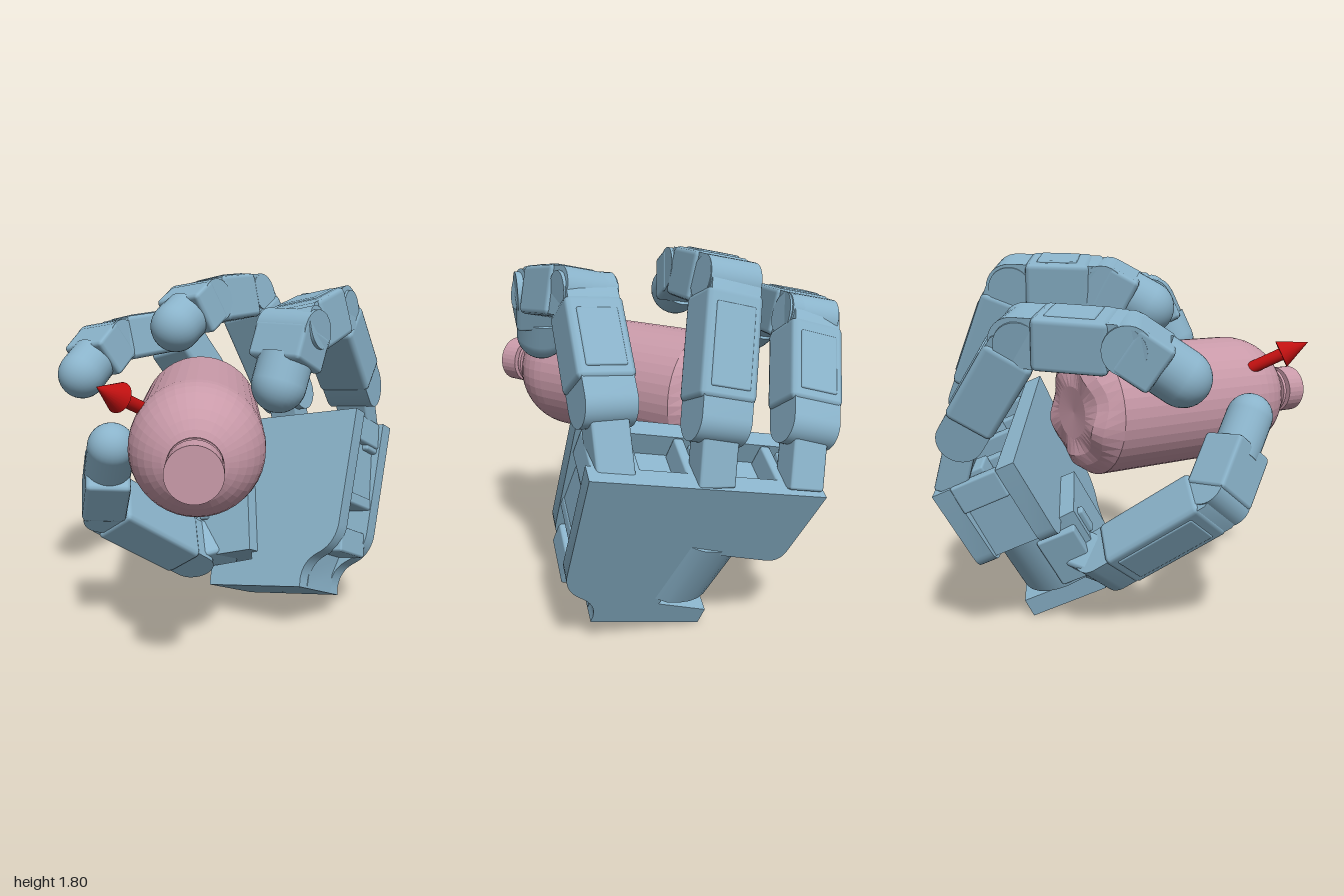
import * as THREE from 'three';
import { toCreasedNormals } from 'three/addons/utils/BufferGeometryUtils.js';
import { RoundedBoxGeometry } from 'three/addons/geometries/RoundedBoxGeometry.js';

const V = (x, y, z) => new THREE.Vector3(x, y, z);
const blue = new THREE.MeshStandardMaterial({ color: 0x8ab3ca });
const pink = new THREE.MeshStandardMaterial({ color: 0xc99aa9, flatShading: true });
const red = new THREE.MeshStandardMaterial({ color: 0xc01010 });

// Palm frame: across, towards the fingers, out of the palm
const across = V(0.811, 0.2, 0.549).normalize();
const out = across.clone().cross(V(0.085, 0.888, -0.45)).normalize();
const up = out.clone().cross(across).normalize();

function add(parent, name, geometry, material = blue, x = 0, y = 0, z = 0) {
  const m = new THREE.Mesh(geometry, material);
  m.name = name;
  m.position.set(x, y, z);
  parent.add(m);
  return m;
}

const box = (w, h, d, r = 0.012) => new RoundedBoxGeometry(w, h, d, 1, r);

function slab(shape, depth) {
  const g = new THREE.ExtrudeGeometry(shape, { depth, bevelEnabled: false, curveSegments: 8 });
  return toCreasedNormals(g, 0.6);
}

// ---- Palm ----
function palmOutline() {
  const s = new THREE.Shape();
  s.moveTo(0, 0);
  s.lineTo(0.56, 0);
  s.lineTo(0.56, 0.04);
  s.quadraticCurveTo(0.57, 0.13, 0.65, 0.17);
  s.quadraticCurveTo(0.74, 0.21, 0.762, 0.31);
  s.lineTo(0.832, 0.91);
  s.lineTo(-0.281, 0.91);
  s.lineTo(-0.25, 0.54);
  s.quadraticCurveTo(-0.24, 0.47, -0.17, 0.475);
  s.lineTo(0.19, 0.51);
  s.lineTo(0.26, 0.14);
  s.lineTo(0, 0.1);
  return s;
}

// Inner block, set back along the finger side and the outer side
function coreOutline() {
  const s = new THREE.Shape();
  [[0, 0], [0.56, 0], [0.57, 0.1], [0.61, 0.2], [0.64, 0.42], [0.67, 0.8], [-0.22, 0.8],
    [-0.22, 0.5], [0.19, 0.51], [0.26, 0.14], [0, 0.1]]
    .forEach(([x, y], i) => (i ? s.lineTo(x, y) : s.moveTo(x, y)));
  return s;
}

function makePalm() {
  const palm = new THREE.Group();
  palm.name = 'palm';
  palm.matrixAutoUpdate = false;
  palm.matrix.makeBasis(across, up, out).setPosition(0.12, 0.006, -0.437);

  add(palm, 'backPlate', slab(palmOutline(), 0.09));
  add(palm, 'palmCore', slab(coreOutline(), 0.25), blue, 0, 0, 0.08);
  add(palm, 'palmPlate', slab(palmOutline(), 0.09), blue, 0, 0, 0.315);

  // Blocks along the outer side, leaving a gap between them
  add(palm, 'lowerSideBlock', box(0.16, 0.13, 0.26), blue, 0.665, 0.255, 0.2);
  add(palm, 'sideStrut', box(0.17, 0.06, 0.26), blue, 0.69, 0.47, 0.2);
  add(palm, 'sideMotor', box(0.13, 0.3, 0.25), blue, 0.705, 0.63, 0.2);
  add(palm, 'sideMotorTab', box(0.06, 0.07, 0.12), blue, 0.77, 0.78, 0.14);

  // Finger sockets along the top
  for (const x of [-0.17, 0.27, 0.7]) {
    for (const s of [-1, 1]) add(palm, 'socketCheek', box(0.05, 0.14, 0.23), blue, x + s * 0.085, 0.84, 0.2);
    add(palm, 'socketBlock', box(0.13, 0.17, 0.15), blue, x, 0.85, 0.18);
  }

  // Thumb housing in the notch: flush at the back, sweeping round to the thumb side
  const profile = new THREE.Shape();
  profile.moveTo(0.18, 0.0);
  profile.lineTo(0.18, -0.48);
  profile.lineTo(-0.16, -0.48);
  profile.lineTo(-0.19, -0.26);
  profile.bezierCurveTo(-0.19, -0.1, -0.08, 0.01, 0.12, 0.015);
  const housing = new THREE.Group();
  housing.name = 'thumbHousing';
  housing.position.set(0.09, 0.34, 0);
  housing.rotation.z = 0.13;
  palm.add(housing);
  add(housing, 'housingBody', slab(profile, 0.37), blue, 0, -0.185, 0).rotation.x = -Math.PI / 2;
  add(housing, 'housingBracket', box(0.1, 0.28, 0.2), blue, -0.16, -0.02, 0.35);
  add(housing, 'housingTab', box(0.05, 0.13, 0.05), blue, -0.1, 0.08, 0.48);
  return palm;
}

// ---- Fingers ----
// Frame at a joint: y along the bone, z along the hinge, x to the outside
function boneFrame(parent, name, a, b, hinge) {
  const y = b.clone().sub(a).normalize();
  const z = hinge.clone().addScaledVector(y, -hinge.dot(y)).normalize();
  const g = new THREE.Group();
  g.name = name;
  g.matrixAutoUpdate = false;
  g.matrix.makeBasis(y.clone().cross(z), y, z).setPosition(a);
  parent.add(g);
  return g;
}

// Side profile of a bone: round at the near joint, chamfered at the far one
function boneShape(L, t) {
  const r = t / 2, s = new THREE.Shape();
  s.moveTo(r, 0);
  s.lineTo(r, L - 0.03);
  s.lineTo(r - 0.06, L + 0.06);
  s.lineTo(-r + 0.04, L - 0.03);
  s.lineTo(-r, L - 0.09);
  s.lineTo(-r, 0);
  s.absarc(0, 0, r, Math.PI, Math.PI * 2, false);
  return s;
}

function hingePin(parent, w, r, y) {
  const pin = add(parent, 'hinge', new THREE.CylinderGeometry(r, r, w, 24), blue, 0, y, 0);
  pin.rotation.x = Math.PI / 2;
}

function addBone(parent, name, a, b, hinge, w, t) {
  const L = a.distanceTo(b);
  const g = boneFrame(parent, name, a, b, hinge);
  add(g, 'boneCore', slab(boneShape(L, t), w * 0.88), blue, 0, 0, -w * 0.44);
  add(g, 'boneShell', box(t + 0.015, L - 0.13, w, 0.025), blue, 0, L / 2 + 0.005, 0);
  add(g, 'backPanel', box(0.02, L - 0.24, w * 0.7, 0.008), blue, t / 2 + 0.004, L / 2, 0);
  hingePin(g, w * 0.93, t * 0.46, L);
}

function addTip(parent, a, b, hinge, w, r) {
  const L = a.distanceTo(b);
  const g = boneFrame(parent, 'fingertip', a, b, hinge);
  hingePin(g, w * 0.97, r * 0.85, 0);
  add(g, 'tipBase', box(r * 1.75, L * 0.68, w, 0.02), blue, 0, L * 0.28, 0);
  add(g, 'tipBarrel', new THREE.CylinderGeometry(r, r, L * 0.5, 28), blue, 0, L * 0.75, 0);
  add(g, 'tipPad', new THREE.SphereGeometry(r, 28, 18), blue, 0, L, 0);
}

function makeFinger(name, [a, b, c, d], root) {
  const g = new THREE.Group();
  g.name = name;
  const w = 0.27, t = 0.21;
  addBone(g, 'proximalBone', a, b, across, w * 0.98, t);
  addBone(g, 'middleBone', b, c, across, w, t);
  addTip(g, c, d, across, w, 0.122);
  // Link down into the palm
  const link = boneFrame(g, 'rootLink', root, a, across);
  const L = root.distanceTo(a);
  add(link, 'linkBlock', box(0.14, L + 0.08, 0.17), blue, 0, L / 2, 0);
  return g;
}

function makeThumb() {
  const g = new THREE.Group();
  g.name = 'thumb';
  const p = [V(0.0, 0.38, -0.3), V(-0.21, 0.355, -0.21), V(-0.63, 0.73, 0.13), V(-0.55, 1.06, 0.37)];
  const hinge = p[2].clone().sub(p[1]).cross(p[3].clone().sub(p[2])).normalize();
  const root = boneFrame(g, 'thumbRoot', p[0], p[1], hinge);
  add(root, 'rootBlock', box(0.19, 0.26, 0.22, 0.02), blue, 0, 0.12, 0);
  addBone(g, 'middleBone', p[1], p[2], hinge, 0.26, 0.21);
  const distal = boneFrame(g, 'distalBone', p[2], p[3], hinge);
  add(distal, 'distalShell', box(0.21, 0.27, 0.255, 0.02), blue, 0, 0.13, 0);
  addTip(g, p[2], p[3], hinge, 0.22, 0.11);
  return g;
}

// ---- Bottle ----
function makeBottle() {
  const g = new THREE.Group();
  g.name = 'bottle';
  g.position.set(-0.156, 1.092, 0);
  g.rotation.x = Math.PI / 2;
  const R = 0.3;
  const profile = [[0, -0.35], [0.12, -0.36], [0.2, -0.37], [0.25, -0.34], [R, -0.26], [R, 0.54]];
  for (let i = 1; i <= 8; i++) {
    const a = (i / 8) * 1.25;
    profile.push([R * Math.cos(a), 0.54 + R * Math.sin(a)]);
  }
  profile.push([0.09, 0.83], [0.09, 0.9]);
  const body = new THREE.LatheGeometry(profile.map(([x, y]) => new THREE.Vector2(x, y)), 40);
  // Five shallow feet around the base
  const pos = body.attributes.position;
  for (let i = 0; i < pos.count; i++) {
    const x = pos.getX(i), y = pos.getY(i), z = pos.getZ(i);
    if (y < -0.3 && Math.hypot(x, z) > 0.15) {
      pos.setY(i, y + 0.015 * (1 - Math.cos(5 * Math.atan2(x, z))));
    }
  }
  body.computeVertexNormals();
  add(g, 'bottleBody', body, pink);
  add(g, 'neckRing', new THREE.CylinderGeometry(0.118, 0.118, 0.018, 32), pink, 0, 0.865, 0);
  add(g, 'cap', new THREE.CylinderGeometry(0.118, 0.118, 0.1, 32), pink, 0, 0.95, 0);
  return g;
}

// ---- Arrow out of the palm ----
function makeArrow() {
  const tip = V(-0.555, 1.39, 0.728);
  const start = V(-0.156, 1.085, 0.24);
  const g = boneFrame(new THREE.Group(), 'arrow', start, tip, across);
  const L = start.distanceTo(tip), head = 0.14;
  add(g, 'arrowShaft', new THREE.CylinderGeometry(0.03, 0.03, L - head, 20), red, 0, (L - head) / 2, 0);
  add(g, 'arrowHead', new THREE.ConeGeometry(0.068, head, 24), red, 0, L - head / 2, 0);
  return g;
}

export function createModel() {
  const model = new THREE.Group();
  model.name = 'robotHandWithBottle';
  model.add(makePalm());
  model.add(makeFinger('leftFinger',
    [V(0.645, 1.23, -0.28), V(0.47, 1.635, -0.04), V(0.265, 1.575, 0.385), V(0.2, 1.355, 0.465)],
    V(0.7, 0.97, -0.36)));
  model.add(makeFinger('middleFinger',
    [V(0.32, 1.14, -0.63), V(0.085, 1.68, -0.52), V(-0.16, 1.67, -0.18), V(-0.27, 1.565, -0.02)],
    V(0.36, 0.9, -0.64)));
  model.add(makeFinger('rightFinger',
    [V(-0.08, 1.06, -0.85), V(-0.34, 1.48, -0.7), V(-0.65, 1.455, -0.375), V(-0.76, 1.31, -0.185)],
    V(0.0, 0.82, -0.88)));
  model.add(makeThumb());
  model.add(makeBottle());
  model.add(makeArrow());
  return model;
}
